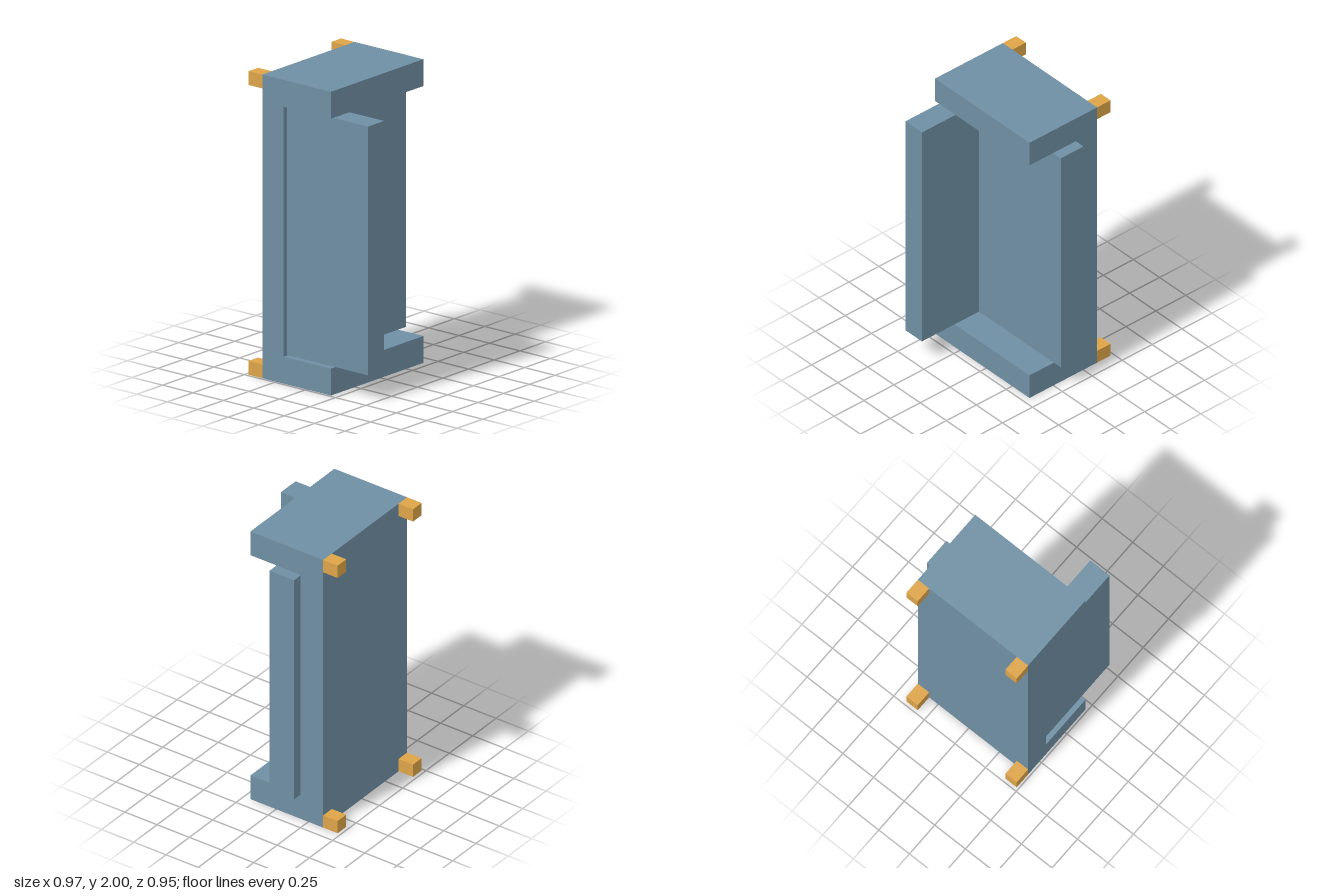
import * as THREE from 'three';

const blue = new THREE.MeshStandardMaterial({ color: 0x6f8fa3 });
const orange = new THREE.MeshStandardMaterial({ color: 0xdda448 });

// Closed polygon extruded by a depth along +z
function prism(name, points, depth, material) {
  const shape = new THREE.Shape(points.map(([x, y]) => new THREE.Vector2(x, y)));
  const geometry = new THREE.ExtrudeGeometry(shape, { depth, bevelEnabled: false });
  const mesh = new THREE.Mesh(geometry, material);
  mesh.name = name;
  return mesh;
}

export function createModel() {
  const model = new THREE.Group();
  model.name = 'bracketAssembly';

  const left = -0.485, right = 0.415, back = -0.365, front = 0.2;

  // C-shaped frame: back plate with top and bottom slabs, side profile swept along x
  const plate = -0.19, low = 0.177, high = 1.823;
  const frame = prism('frame', [
    [-front, 0], [-back, 0], [-back, 2], [-front, 2],
    [-front, high], [-plate, high], [-plate, low], [-front, low],
  ], right - left, blue);
  frame.rotation.y = Math.PI / 2;
  frame.position.x = left;
  model.add(frame);

  // L-shaped insert: wide panel with a forward flange, plan profile swept along y
  const insert = prism('angledInsert', [
    [-0.452, -0.477], [-0.295, -0.477], [-0.295, 0],
    [0.485, 0], [0.485, 0.19], [-0.452, 0.19],
  ], 1.638, blue);
  insert.rotation.x = -Math.PI / 2;
  insert.position.y = 0.181;
  model.add(insert);

  // Four mounting blocks on the back corners
  const size = 0.092, depth = 0.112;
  const block = new THREE.BoxGeometry(size, size, depth);
  for (const x of [left + size / 2, right - size / 2]) {
    for (const y of [size / 2, 2 - size / 2]) {
      const mesh = new THREE.Mesh(block, orange);
      mesh.name = 'mountingBlock';
      mesh.position.set(x, y, back - depth / 2);
      model.add(mesh);
    }
  }
  return model;
}
